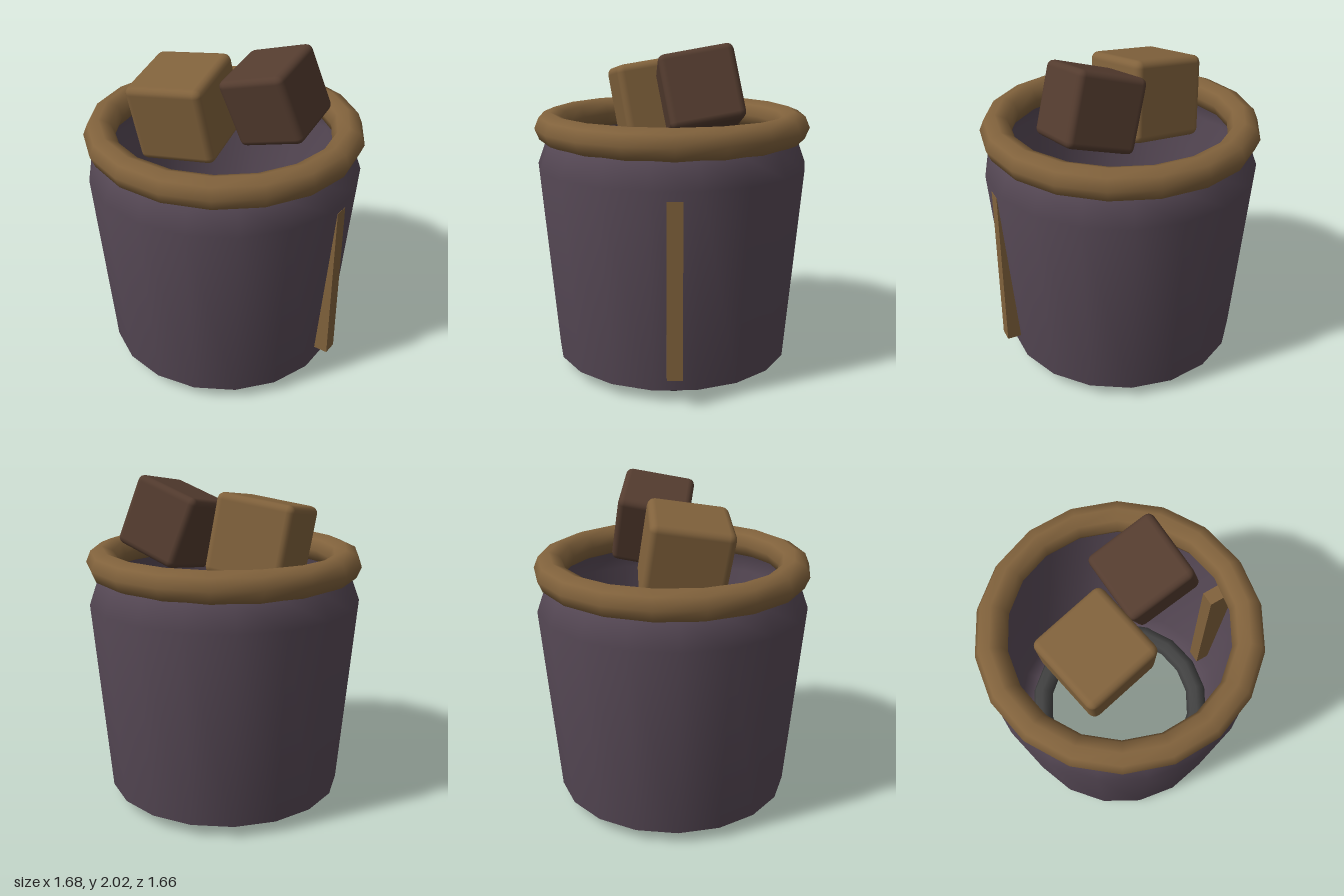
import * as THREE from 'three';
import { RoundedBoxGeometry } from 'three/addons/geometries/RoundedBoxGeometry.js';

const SIDES = 18;

function material(name, color, side = THREE.FrontSide) {
  const m = new THREE.MeshStandardMaterial({ color, side });
  m.name = name;
  return m;
}

export function createModel() {
  const group = new THREE.Group();
  group.name = 'cup';
  const purple = material('dusky purple', 0x584a57, THREE.DoubleSide);
  const tan = material('tan', 0x81623c);
  const brown = material('dark brown', 0x543c2f);
  const grey = material('charcoal', 0x414141);

  function add(name, geometry, mat, position = [0, 0, 0], rotation = [0, 0, 0]) {
    const mesh = new THREE.Mesh(geometry, mat);
    mesh.name = name;
    mesh.position.set(...position);
    mesh.rotation.set(...rotation);
    group.add(mesh);
    return mesh;
  }

  // thin open cup wall, turned in at the foot and shoulder
  const profile = [[0.6, 0.055], [0.73, 0.075], [0.83, 1.27], [0.775, 1.42], [0.745, 1.5]]
    .map(([r, y]) => new THREE.Vector2(r, y));
  add('cupWall', new THREE.LatheGeometry(profile, SIDES), purple);

  // rolled rim and foot ring
  const flat = [Math.PI / 2, 0, 0];
  add('rim', new THREE.TorusGeometry(0.745, 0.095, 8, SIDES), tan, [0, 1.505, 0], flat);
  add('footRing', new THREE.TorusGeometry(0.57, 0.07, 8, SIDES), grey, [0, 0.07, 0], flat);

  // upright side strip passing through the wall
  add('sideStrip', new THREE.BoxGeometry(0.18, 1.035, 0.09), tan, [0.725, 0.6975, 0]);

  // two tilted cubes resting in the opening
  add('lightCube', new RoundedBoxGeometry(0.49, 0.49, 0.49, 2, 0.045), tan,
    [-0.21, 1.635, 0.1], [0.15, 0.2, 0.1]);
  add('darkCube', new RoundedBoxGeometry(0.435, 0.435, 0.435, 2, 0.04), brown,
    [0.26, 1.73, -0.155], [0.17, 0.08, 0.3]);

  return group;
}
